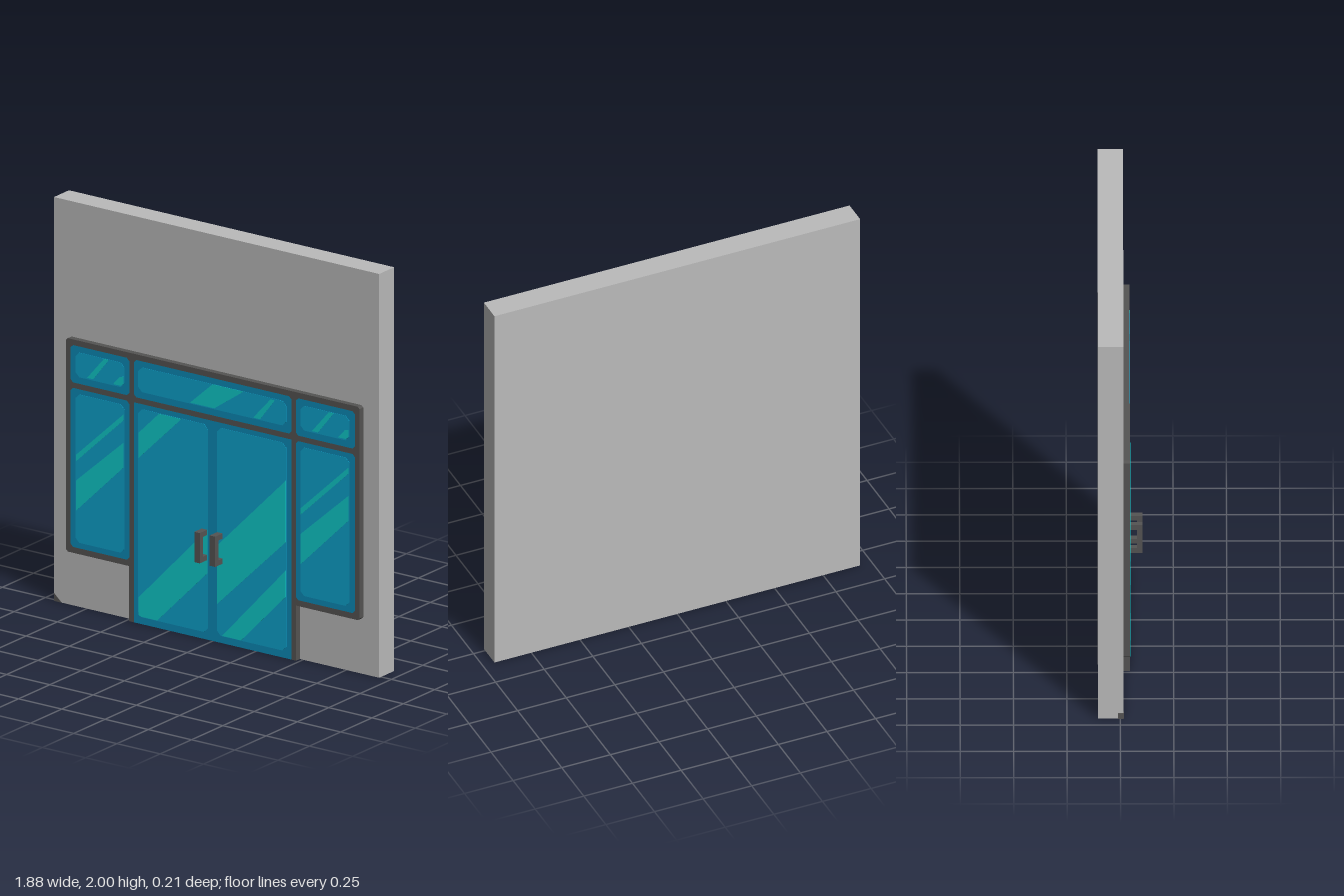
import * as THREE from 'three';

const mat = (name, color) => {
  const m = new THREE.MeshStandardMaterial({ color });
  m.name = name;
  return m;
};

// Rectangle with small cut corners, as a list of points
const cutRect = (x0, y0, x1, y1, c) => [
  [x0 + c, y0], [x1 - c, y0], [x1, y0 + c], [x1, y1 - c],
  [x1 - c, y1], [x0 + c, y1], [x0, y1 - c], [x0, y0 + c],
];
const toPoints = (pts) => pts.map(([x, y]) => new THREE.Vector2(x, y));

export function createModel() {
  const group = new THREE.Group();
  const wallGrey = mat('wall grey', 0xbababa);
  const frameGrey = mat('frame dark grey', 0x555453);
  const glassEdge = mat('glass edge blue', 0x0c8bb8);
  const glassBlue = mat('glass blue', 0x0ea3cd);
  const shine = mat('glass shine', 0x0fcbcb);

  const add = (name, geometry, material, parent = group) => {
    const mesh = new THREE.Mesh(geometry, material);
    mesh.name = name;
    parent.add(mesh);
    return mesh;
  };
  // Flat shape extruded along z from z0 to z1
  const slab = (name, pts, z0, z1, material, holes = []) => {
    const shape = new THREE.Shape(toPoints(pts));
    holes.forEach((h) => shape.holes.push(new THREE.Path(toPoints(h))));
    const geo = new THREE.ExtrudeGeometry(shape, { depth: z1 - z0, bevelEnabled: false });
    geo.translate(0, 0, z0);
    return add(name, geo, material);
  };

  const BACK = 0.015, FRONT = 0.045;

  // Wall
  add('wall', new THREE.BoxGeometry(1.88, 2, 0.12), wallGrey).position.set(0, 1, -0.045);
  // Dark chip at the wall's lower corner
  slab('cornerChipFront', [[-0.94, 0], [-0.895, 0], [-0.94, 0.04]], BACK, 0.016, frameGrey);
  add('cornerChipSide', new THREE.BoxGeometry(0.001, 0.03, 0.025), frameGrey)
    .position.set(-0.9405, 0.015, 0.0025);

  // Glazed openings: side lights, top lights and the door opening
  const openings = [
    [-0.822, 0.302, -0.483, 1.09],
    [0.48, 0.302, 0.822, 1.09],
    [-0.822, 1.117, -0.483, 1.302],
    [0.48, 1.117, 0.822, 1.302],
    [-0.457, 1.117, 0.455, 1.302],
  ].map((r) => cutRect(...r, 0.014));
  const door = [[-0.457, 0], [0.455, 0], [0.455, 1.09], [-0.457, 1.09]];

  // Frame surrounding the openings, open at the bottom for the doors
  slab('frame', [
    [-0.485, 0], [-0.457, 0], [-0.457, 1.09], [0.455, 1.09], [0.455, 0], [0.482, 0],
    [0.482, 0.273], [0.838, 0.273], [0.848, 0.283], [0.848, 1.32], [0.838, 1.33],
    [-0.838, 1.33], [-0.848, 1.32], [-0.848, 0.283], [-0.838, 0.273], [-0.485, 0.273],
  ], BACK, FRONT, frameGrey, openings);
  openings.forEach((o) => slab('glassBorder', o, BACK, FRONT, glassEdge));
  slab('doorBorder', door, BACK, FRONT, glassEdge);

  // Lighter inner panes
  [
    [-0.793, 0.33, -0.51, 1.065],
    [0.507, 0.33, 0.79, 1.065],
    [-0.793, 1.15, -0.51, 1.272],
    [0.507, 1.15, 0.79, 1.272],
    [-0.43, 1.15, 0.425, 1.272],
    [-0.43, 0.035, -0.028, 1.065],
    [0.025, 0.035, 0.425, 1.065],
  ].forEach((r) => slab('innerPane', cutRect(...r, 0.022), FRONT, 0.0465, glassBlue));

  // Diagonal shine stripes
  const sideStripes = [
    [[-0.725, 1.157], [-0.69, 1.157], [-0.6, 1.27], [-0.628, 1.27]],
    [[-0.575, 1.157], [-0.53, 1.157], [-0.515, 1.17], [-0.515, 1.205], [-0.535, 1.2]],
    [[-0.79, 0.73], [-0.515, 0.988], [-0.515, 1.018], [-0.79, 0.762]],
    [[-0.79, 0.485], [-0.515, 0.755], [-0.515, 0.878], [-0.79, 0.635]],
  ];
  const stripes = [
    ...sideStripes,
    ...sideStripes.map((s) => s.map(([x, y]) => [x + 1.3, y])),
    [[-0.13, 1.155], [0.01, 1.155], [0.18, 1.272], [0, 1.272]],
    [[0.235, 1.155], [0.275, 1.155], [0.36, 1.265], [0.335, 1.265]],
    [[-0.428, 0.82], [-0.18, 1.063], [-0.31, 1.063], [-0.428, 0.945]],
    [[-0.428, 0.045], [-0.415, 0.037], [-0.32, 0.037], [-0.03, 0.33], [-0.03, 0.545], [-0.428, 0.13]],
    [[0.027, 0.19], [0.423, 0.575], [0.423, 0.88], [0.027, 0.48]],
    [[0.055, 0.037], [0.165, 0.037], [0.423, 0.305], [0.423, 0.435]],
  ];
  stripes.forEach((s) => slab('shineStripe', s, 0.0465, 0.0475, shine));

  // Pull handles: an upright grip on two arms
  [[-0.047, 'rightHandle'], [0.042, 'leftHandle']].forEach(([x, name]) => {
    const handle = new THREE.Group();
    handle.name = name;
    handle.position.x = x;
    add('grip', new THREE.BoxGeometry(0.032, 0.15, 0.027), frameGrey, handle).position.set(0, 0.47, 0.0925);
    [0.408, 0.532].forEach((y) =>
      add('arm', new THREE.BoxGeometry(0.032, 0.026, 0.034), frameGrey, handle).position.set(0, y, 0.062));
    group.add(handle);
  });

  return group;
}
